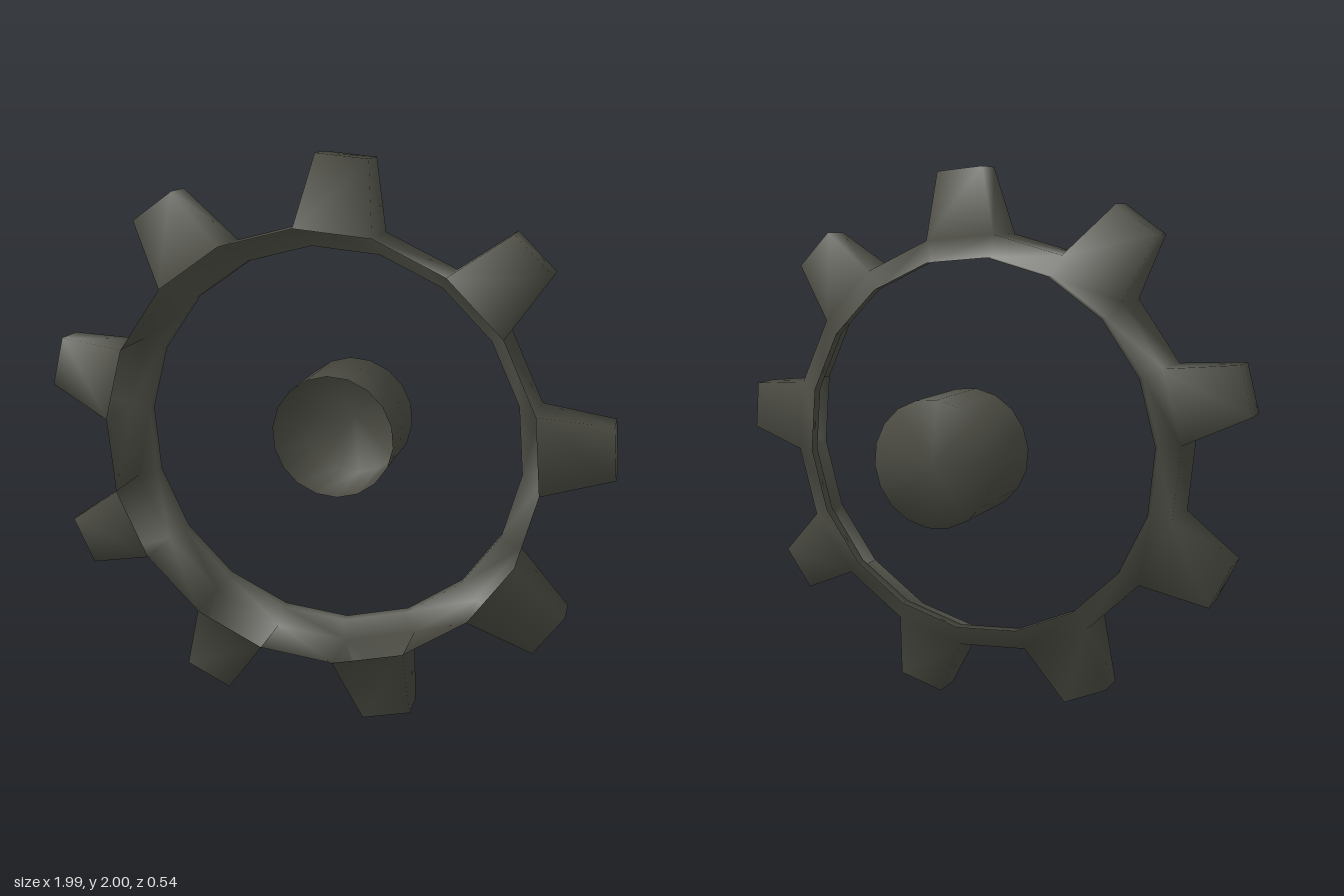
import * as THREE from 'three';

const SIDES = 18;
const PHASE = THREE.MathUtils.degToRad(94.9);
const STEP = (Math.PI * 2) / SIDES;

// Open, stepped rim with a tapered tooth on every second side, as one smooth skin
function makeToothedRim() {
  const positions = [];
  const index = [];
  const quad = (a, b, c, d) => index.push(a, b, c, a, c, d);

  // Ring of points; inset turns tooth corners toward the tooth's centre line
  const ring = (radius, z, inset = 0) => {
    const ids = [];
    for (let i = 0; i < SIDES; i++) {
      // side 17 -> 0 carries a tooth: odd points start a tooth, even points end it
      const angle = PHASE + i * STEP + (i % 2 ? inset : -inset);
      ids.push(positions.length / 3);
      positions.push(radius * Math.cos(angle), radius * Math.sin(angle), z);
    }
    return ids;
  };

  const lip = ring(0.69, 0.04);
  const ledgeInner = ring(0.69, 0.08);
  const rimBack = ring(0.77, 0.08);
  const rimFront = ring(0.77, 0.27);
  const tipInset = THREE.MathUtils.degToRad(4.9);
  const tipBack = ring(1.005, 0.125, tipInset);
  const tipFront = ring(1.005, 0.23, tipInset);

  for (let i = 0; i < SIDES; i++) {
    const j = (i + 1) % SIDES;
    const strip = (a, b) => quad(a[i], a[j], b[j], b[i]);
    strip(lip, ledgeInner);
    strip(ledgeInner, rimBack);
    if (i % 2 === 0) {
      strip(rimBack, rimFront); // plain wall between teeth
    } else {
      strip(rimBack, tipBack);
      strip(tipBack, tipFront);
      strip(tipFront, rimFront);
      quad(rimBack[i], tipBack[i], tipFront[i], rimFront[i]);
      quad(rimBack[j], rimFront[j], tipFront[j], tipBack[j]);
    }
  }

  const geometry = new THREE.BufferGeometry();
  geometry.setAttribute('position', new THREE.Float32BufferAttribute(positions, 3));
  geometry.setIndex(index);
  geometry.computeVertexNormals();
  return geometry;
}

// Cup-shaped hub: closed at the back, open at the front
function makeHub() {
  const profile = [[0, -0.27], [0.225, -0.27], [0.225, 0.04]].map(([r, z]) => new THREE.Vector2(r, z));
  return new THREE.LatheGeometry(profile, SIDES, PHASE + Math.PI / 2).rotateX(Math.PI / 2);
}

export function createModel() {
  const darkMetal = new THREE.MeshStandardMaterial({ color: 0x4a4a42, side: THREE.DoubleSide });
  darkMetal.name = 'dark metal';

  const group = new THREE.Group();
  group.name = 'sprocket';
  const add = (name, geometry) => {
    const mesh = new THREE.Mesh(geometry, darkMetal);
    mesh.name = name;
    mesh.position.set(-0.01, 0.998, 0);
    group.add(mesh);
  };

  add('toothedRim', makeToothedRim());
  add('hub', makeHub());
  return group;
}
